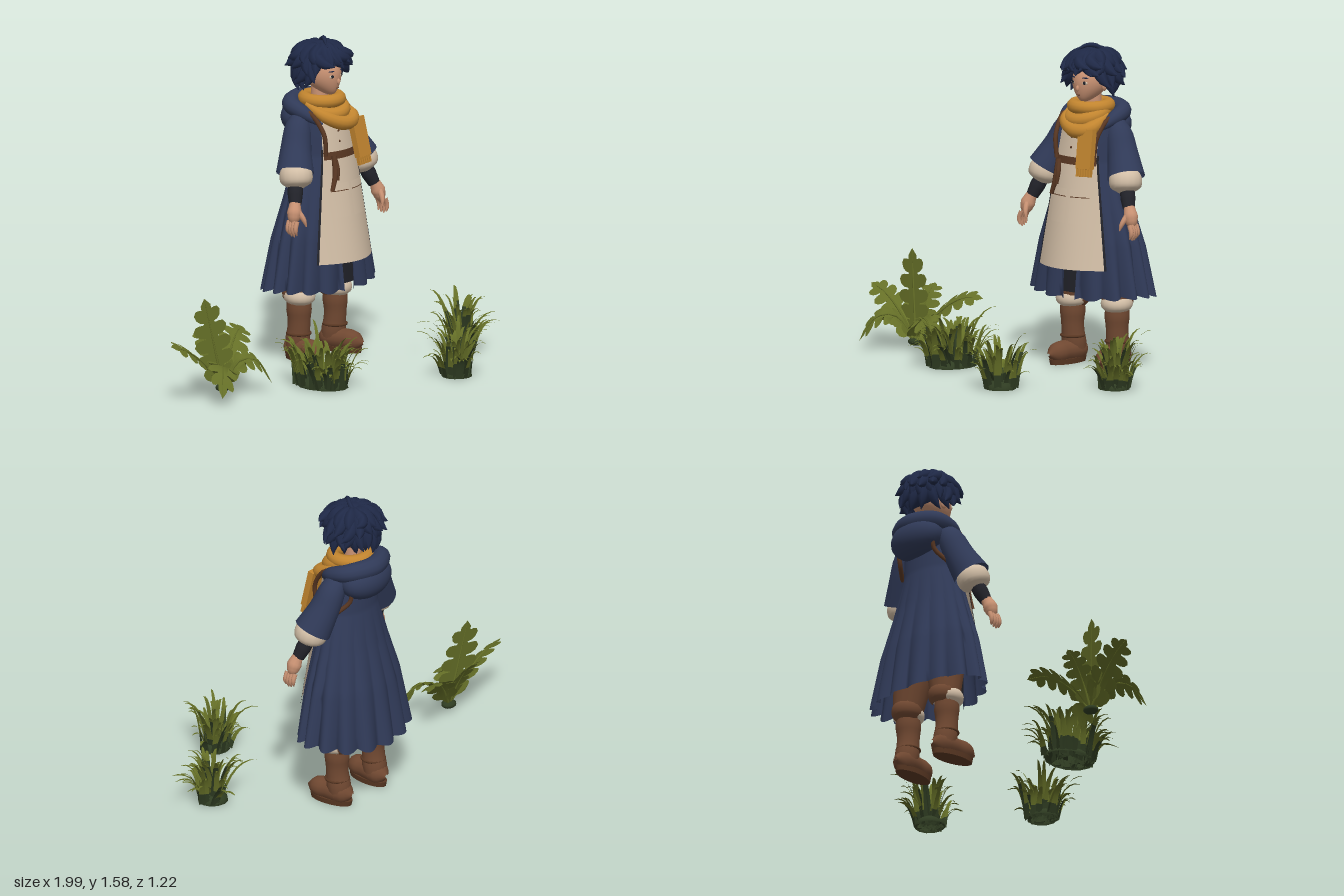
import * as THREE from 'three';
import { mergeVertices } from 'three/addons/utils/BufferGeometryUtils.js';
import { ParametricGeometry } from 'three/addons/geometries/ParametricGeometry.js';

const V = (x, y, z) => new THREE.Vector3(x, y, z);
const lerp = THREE.MathUtils.lerp;
const mat = (name, color, side = THREE.FrontSide) => {
  const m = new THREE.MeshStandardMaterial({ color, side });
  m.name = name;
  return m;
};
const M = {
  coat: mat('navy cloth', 0x303a58, THREE.DoubleSide),
  hair: mat('blue black hair', 0x1f2947),
  skin: mat('skin', 0xc99273),
  scarf: mat('mustard wool', 0xc2852f),
  cream: mat('cream linen', 0xd3bfa7, THREE.DoubleSide),
  boot: mat('brown boot leather', 0x704831),
  strap: mat('dark leather', 0x5a3823),
  black: mat('black cloth', 0x22232a, THREE.DoubleSide),
  leaf: mat('olive leaf', 0x656f27, THREE.DoubleSide),
  dark: mat('dark green', 0x2f3c22, THREE.DoubleSide),
};

let seed = 11;
const rnd = (a = 0, b = 1) => {
  seed = (seed * 16807) % 2147483647;
  return a + (b - a) * (seed / 2147483647);
};

function add(parent, name, geo, material, pos = [0, 0, 0], scale = [1, 1, 1], rot = [0, 0, 0]) {
  const m = new THREE.Mesh(geo, material);
  m.name = name;
  m.position.set(...pos);
  m.scale.set(...scale);
  m.rotation.set(...rot);
  parent.add(m);
  return m;
}

// Tube along points whose radius follows a list of values
function limb(parent, name, pts, radii, material, seg = 12, sides = 12) {
  const curve = new THREE.CatmullRomCurve3(pts.map(p => V(...p)));
  let g = new THREE.TubeGeometry(curve, seg, 1, sides);
  const pos = g.attributes.position, v = V();
  for (let k = 0; k < pos.count; k++) {
    const t = Math.floor(k / (sides + 1)) / seg, c = curve.getPointAt(t);
    const f = t * (radii.length - 1), i = Math.min(Math.floor(f), radii.length - 2);
    v.fromBufferAttribute(pos, k).sub(c).multiplyScalar(lerp(radii[i], radii[i + 1], f - i)).add(c);
    pos.setXYZ(k, v.x, v.y, v.z);
  }
  g.deleteAttribute('uv');
  g.deleteAttribute('normal');
  g = mergeVertices(g, 1e-5);
  g.computeVertexNormals();
  return add(parent, name, g, material);
}

// Coat, open above the waist and nearly closed at the hem: rows of [y, half width, depth to back, depth to front, opening angle]
const coatRows = [[.35, .352, .247, .185, .1], [.6, .295, .2, .168, .15], [.8, .226, .147, .15, .3], [1, .16, .105, .13, .55],
  [1.1, .155, .1, .125, .6], [1.21, .15, .1, .11, .6], [1.26, .09, .09, .07, .6]];
function coatPoint(u, v, out) {
  const f = v * 6, i = Math.min(Math.floor(f), 5);
  const [y, rx, zb, zf, gap] = coatRows[i].map((a, k) => lerp(a, coatRows[i + 1][k], f - i));
  const th = lerp(gap, Math.PI * 2 - gap, u), s = Math.sin(th), c = Math.cos(th);
  const t = Math.max(0, (1.02 - y) / .67), lobe = Math.abs(Math.cos(8 * th));
  const r = 1 - .14 * t * (1 - lobe);
  const hem = Math.pow(1 - v, 4) * (.03 * s * s + .01 * c - .012 * lobe - .004);
  out.set(s * rx * r, y + hem, c * (c > 0 ? zf : zb) * r);
}

// Apron surface, with its edges bending back
const apronW = y => y > 1 ? .125 - (y - 1) * .1 : .125 + (1 - y) * .15;
function apronPoint(x, y, out, lift = 0) {
  const p = x / apronW(y);
  const z = y > 1 ? .145 - (y - 1) * .15 : .145 + (1 - y) * .17;
  out.set(x, y, z - p * p * (.03 + Math.max(0, 1 - y) * .1) + lift);
}
function apronPatch(parent, name, x0, x1, y0, y1, lift, material) {
  add(parent, name, new ParametricGeometry((u, v, o) =>
    apronPoint(lerp(x0, x1, u), lerp(y0, y1, v), o, lift), 10, 6), material);
}

function buildClothes(g) {
  add(g, 'coat', new ParametricGeometry(coatPoint, 144, 24), M.coat);
  add(g, 'apron', new ParametricGeometry((u, v, o) => {
    const y = lerp(.5, 1.24, v);
    apronPoint((u * 2 - 1) * apronW(y), y, o);
  }, 20, 20), M.cream);
  add(g, 'shirt', new THREE.SphereGeometry(1, 24, 16), M.cream, [0, 1.05, 0], [.13, .22, .095]);
  add(g, 'underskirt', new ParametricGeometry((u, v, o) => {
    const x = (u - .5) * .16;
    o.set(x, lerp(.375, .7, v), .145 - x * x);
  }, 8, 4), M.black);
  for (const s of [-1, 1]) {
    const x = s * .062;
    // Dark binding along the apron edge
    add(g, 'apronBinding', new ParametricGeometry((u, v, o) => {
      const y = lerp(.5, 1.05, v);
      apronPoint(s * (apronW(y) + (s * (u - .5) + .5) * .009 - .001), y, o, .001);
    }, 2, 16), M.black);
    apronPatch(g, 'pocket', x - .05, x + .05, .72, .87, .007, M.cream);
    apronPatch(g, 'pocketFlap', x - .054, x + .054, .85, .885, .013, M.cream);
    apronPatch(g, 'pocketSeam', x - .05, x + .05, .846, .85, .012, M.strap);
    limb(g, 'shoulderStrap', [[s * .115, 1.02, .125], [s * .125, 1.13, .12], [s * .14, 1.23, .03],
      [s * .13, 1.18, -.09], [s * .12, 1.1, -.095], [s * .16, 1.03, -.04]], [.011, .011], M.strap, 24, 8);
  }
  for (const y of [1.08, 1.13])
    add(g, 'shirtButton', new THREE.SphereGeometry(1, 10, 6), M.strap, [-.02, y, .145 - (y - 1) * .15], [.006, .006, .004]);
  apronPatch(g, 'belt', -.125, .125, 1, 1.036, .008, M.strap);
  limb(g, 'beltTie', [[-.085, 1.02, .15], [-.09, .93, .163], [-.115, .85, .165]], [.012, .014, .01], M.strap);
  limb(g, 'beltTie', [[-.08, 1.02, .15], [-.075, .95, .165], [-.08, .9, .17]], [.01, .012, .008], M.strap);

  // Lowered hood with its rolled lip
  add(g, 'hoodBag', new THREE.SphereGeometry(1, 28, 18), M.coat, [0, 1.18, -.09], [.155, .1, .1]);
  limb(g, 'hoodLip', [[-.1, 1.165, .09], [-.14, 1.215, .02], [-.125, 1.245, -.08], [0, 1.25, -.135],
    [.125, 1.245, -.08], [.14, 1.215, .02], [.1, 1.165, .09]], [.01, .036, .046, .05, .046, .036, .01], M.coat, 36, 12);

  // Scarf: wraps, a front drape, a hanging tail and its fringe
  add(g, 'scarfWrap', new THREE.TorusGeometry(.084, .033, 12, 32), M.scarf, [0, 1.272, .005], [1, 1, 1], [Math.PI / 2 + .03, 0, 0]);
  add(g, 'scarfLowerWrap', new THREE.TorusGeometry(.086, .034, 12, 32), M.scarf, [0, 1.235, .03], [1, 1, 1], [Math.PI / 2 + .3, .1, 0]);
  limb(g, 'scarfDrape', [[-.115, 1.26, 0], [-.08, 1.2, .1], [.01, 1.165, .138], [.085, 1.175, .125], [.115, 1.24, .02]],
    [.012, .03, .036, .036, .012], M.scarf, 20, 12);
  const tail = new THREE.Group();
  tail.name = 'scarfTail';
  tail.position.set(.095, 1.085, .162);
  tail.rotation.set(-.2, 0, .06);
  g.add(tail);
  add(tail, 'scarfTailCloth', new THREE.BoxGeometry(.088, .19, .032), M.scarf);
  for (let i = 0; i < 6; i++)
    add(tail, 'fringe', new THREE.BoxGeometry(.009, .045, .018), M.scarf, [-.039 + i * .0155, -.11, 0]);
}

function buildArm(g, s) {
  limb(g, 'sleeve', [[s * .08, 1.205, -.015], [s * .145, 1.165, -.015], [s * .195, 1.06, .005], [s * .245, .95, .04]],
    [.04, .066, .076, .092], M.coat, 14, 18);
  limb(g, 'rolledCuff', [[s * .236, .995, .035], [s * .258, .875, .06]], [.03, .07, .08, .081, .074, .03], M.cream, 12, 16);
  limb(g, 'armGuard', [[s * .262, .9, .055], [s * .298, .81, .085]], [.036, .037, .03], M.black);
  limb(g, 'hand', [[s * .294, .83, .081], [s * .318, .77, .095], [s * .333, .71, .1]], [.024, .029, .036, .028, .004], M.skin);
  for (let k = 0; k < 4; k++) {
    const z = .076 + k * .016;
    limb(g, 'finger', [[s * .333, .735, z], [s * .347, .695, z + .002], [s * .338, .655 + Math.abs(k - 1.6) * .008, z + .004]],
      [.012, .012, .011, .003], M.skin, 6, 8);
  }
  limb(g, 'thumb', [[s * .31, .78, .11], [s * .298, .74, .138], [s * .288, .705, .145]], [.015, .014, .011, .003], M.skin, 6, 8);
}

function buildLeg(g, s) {
  limb(g, 'trouserLeg', [[s * .085, .82, 0], [s * .11, .55, -.01], [s * .135, .32, -.03]], [.085, .097, .095, .072], M.boot, 10, 14);
  // Cream turn-up with the brown trouser gathered behind it
  limb(g, 'trouserCuff', [[s * .139, .36, -.018], [s * .139, .275, -.022]], [.05, .072, .078, .075, .05], M.cream, 10, 18);
  limb(g, 'trouserGather', [[s * .13, .375, -.038], [s * .13, .278, -.04]], [.05, .072, .076, .072, .05], M.boot, 10, 18);
  const boot = new THREE.Group();
  boot.name = 'boot';
  boot.position.set(s * .137, 0, -.025);
  boot.rotation.y = s * .1;
  g.add(boot);
  limb(boot, 'bootShaft', [[0, .3, 0], [0, .17, 0], [0, .05, -.015]], [.058, .062, .055, .055, .06, .056], M.boot, 14, 16);
  limb(boot, 'bootFoot', [[0, .058, -.09], [0, .06, -.03], [0, .058, .06], [0, .052, .165]],
    [.01, .052, .058, .056, .052, .053, .044, .006], M.boot, 18, 14);
  add(boot, 'sole', new THREE.CylinderGeometry(1, .95, 1, 28), M.strap, [0, .013, .034], [.05, .026, .118]);
  add(boot, 'bootBand', new THREE.TorusGeometry(.055, .007, 8, 20), M.strap, [0, .13, 0], [1, 1, 1], [Math.PI / 2, 0, 0]);
}

function buildHead(g) {
  // Face tapering to a forward chin
  const geo = new THREE.SphereGeometry(1, 32, 24), p = geo.attributes.position;
  for (let i = 0; i < p.count; i++) {
    const y = p.getY(i), k = y < 0 ? y * y : 0;
    p.setXYZ(i, p.getX(i) * (1 - .35 * k), y, p.getZ(i) * (1 - .25 * k) + .5 * k);
  }
  geo.computeVertexNormals();
  add(g, 'face', geo, M.skin, [0, 1.395, .003], [.082, .1, .105]);
  add(g, 'neck', new THREE.CylinderGeometry(.04, .045, .14, 16), M.skin, [0, 1.27, -.01]);
  add(g, 'nose', new THREE.SphereGeometry(1, 12, 8), M.skin, [0, 1.366, .108], [.008, .015, .01]);
  add(g, 'mouth', new THREE.SphereGeometry(1, 12, 8), M.strap, [0, 1.334, .104], [.012, .002, .004]);
  for (const s of [-1, 1]) {
    const turn = [0, s * .4, 0];
    add(g, 'eyeWhite', new THREE.SphereGeometry(1, 14, 8), M.cream, [s * .036, 1.393, .097], [.014, .008, .004], turn);
    add(g, 'iris', new THREE.SphereGeometry(1, 12, 8), M.black, [s * .035, 1.394, .1], [.008, .008, .003], turn);
    add(g, 'eyebrow', new THREE.SphereGeometry(1, 12, 8), M.hair, [s * .037, 1.418, .095], [.017, .003, .004], turn);
    add(g, 'ear', new THREE.SphereGeometry(1, 12, 10), M.skin, [s * .083, 1.375, .005], [.012, .026, .017]);
  }
  // Hair cap and wavy locks, flaring at the sides and tucked in at the nape
  add(g, 'hairCap', new THREE.SphereGeometry(1, 28, 18, 0, Math.PI * 2, 0, Math.PI * .6), M.hair,
    [0, 1.44, -.015], [.115, .11, .115], [-.55, 0, 0]);
  const layers = [[12, .13, 1.475], [16, .15, 1.42], [17, .155, 1.37], [14, .13, 1.33]];
  layers.forEach(([n, rEnd, low], L) => {
    for (let i = 0; i < n; i++) {
      const a = (i + L * .4) / n * Math.PI * 2, s = Math.sin(a), c = Math.cos(a), front = c > .6;
      if (L === 3 && c > .4) continue;
      const y = (front ? 1.448 + L * .004 : low) + rnd(-.016, .02);
      const r = (front ? .142 : rEnd * (c < -.3 && L > 1 ? .82 : 1)) + rnd(-.008, .022), w = rnd(-.04, .04) + (front ? .025 : 0);
      const at = (q, h, t = 0) => [s * q + c * t, h, -.01 + c * q - s * t];
      limb(g, 'hairLock', [at(.015, 1.535), at(.06, 1.527, w * .2), at(.1, lerp(1.515, y, .4), -w * .3),
        at(lerp(.122, r, .4), lerp(1.515, y, .8), w * .2), at(r, y, w)], [.01, .022, .03, .033, .024, .001], M.hair, 11, 7);
    }
  });
  limb(g, 'strayLock', [[.03, 1.53, -.04], [.025, 1.56, -.01], [-.01, 1.565, .03], [-.045, 1.535, .075]],
    [.012, .012, .01, .001], M.hair, 10, 6);
}

// Lobed leaf: flat outline bent along an arching rib, tilted towards the front
function lobedLeaf(parent, base, tip, lift, halfW, side) {
  const env = u => Math.sin(Math.PI * (.25 + .67 * u)), edge = [[0, .05]], n = 5;
  for (let i = 0; i < n; i++) {
    const u = .1 + .16 * i;
    for (const [du, k] of [[0, .42], [.02, .75], [.06, 1], [.12, 1.12], [.157, .95], [.157, .7], [.145, .42]])
      edge.push([u + du, k * env(u)]);
  }
  const outline = [...edge, [.93, .3], [1, 0], [.93, -.3], ...edge.map(([u, v]) => [u, -v]).reverse()];
  const g = new THREE.ShapeGeometry(new THREE.Shape(outline.map(q => new THREE.Vector2(...q))));
  const mid = base.clone().lerp(tip, .5);
  mid.y += lift;
  const curve = new THREE.QuadraticBezierCurve3(base, mid, tip), p = g.attributes.position;
  const dz = base.x - tip.x;
  const across = side || V(tip.z - base.z, -.55 * dz, dz).normalize();
  for (let i = 0; i < p.count; i++) {
    const v = p.getY(i), q = curve.getPoint(p.getX(i)).addScaledVector(across, v * halfW);
    p.setXYZ(i, q.x, Math.max(.01, q.y - .012 * v * v), q.z);
  }
  g.computeVertexNormals();
  add(parent, 'lobedLeaf', g, M.leaf);
  limb(parent, 'leafRib', [0, .35, .7, 1].map(t => curve.getPoint(t).toArray()), [.009, .005, .001], M.leaf, 10, 6);
}

// Grass tuft: tapered arching blades, dark at the root
function grassTuft(parent, cx, cz, rx, rz, n, tips) {
  const pos = [], low = [], high = [], seg = 6;
  for (let b = 0; b < n + tips.length; b++) {
    const a = rnd(0, Math.PI * 2), q = Math.sqrt(rnd(0, .9));
    const base = V(cx + Math.cos(a) * q * rx, .005, cz + Math.sin(a) * q * rz);
    const a2 = a + rnd(-.9, .9), reach = rnd(.05, .14), h = rnd(.1, .28) * (1 - .25 * q);
    const tip = b < n ? V(base.x + Math.cos(a2) * reach, h, base.z + Math.sin(a2) * reach) : V(...tips[b - n]);
    if (b >= n) base.set(lerp(cx, tip.x, .2), .005, lerp(cz, tip.z, .2));
    const mid = base.clone().lerp(tip, .35);
    mid.y = tip.y * .9 + .05;
    const curve = new THREE.QuadraticBezierCurve3(base, mid, tip);
    const tw = Math.atan2(tip.z - base.z, tip.x - base.x) + Math.PI / 2 + rnd(-.35, .35);
    const w = rnd(.012, .02), s0 = pos.length / 3, darkTo = b % 4 === 0 ? 3 : 1;
    for (let i = 0; i <= seg; i++) {
      const t = i / seg, c = curve.getPoint(t), k = w * Math.pow(1 - t, .6);
      for (const e of [-1, 1]) pos.push(c.x + e * Math.cos(tw) * k, c.y, c.z + e * Math.sin(tw) * k);
      const o = s0 + i * 2;
      if (i < seg) (i < darkTo ? low : high).push(o, o + 1, o + 2, o + 1, o + 3, o + 2);
    }
  }
  const g = new THREE.BufferGeometry();
  g.setAttribute('position', new THREE.Float32BufferAttribute(pos, 3));
  g.setIndex([...low, ...high]);
  g.addGroup(0, low.length, 0);
  g.addGroup(low.length, high.length, 1);
  g.computeVertexNormals();
  add(parent, 'grassBlades', g, [M.dark, M.leaf]);
  add(parent, 'grassRoot', new THREE.SphereGeometry(1, 12, 6, 0, Math.PI * 2, 0, Math.PI / 2), M.dark, [cx, 0, cz], [rx * .9, .05, rz * .9]);
}

export function createModel() {
  const model = new THREE.Group();
  model.name = 'travellerWithPlants';
  const figure = new THREE.Group();
  figure.name = 'traveller';
  figure.position.set(.27, 0, -.35);
  model.add(figure);
  buildClothes(figure);
  buildHead(figure);
  for (const s of [-1, 1]) {
    buildArm(figure, s);
    buildLeg(figure, s);
  }

  const fern = new THREE.Group();
  fern.name = 'broadLeafPlant';
  model.add(fern);
  const root = V(-.68, .03, -.18);
  lobedLeaf(fern, root, V(-.75, .475, -.24), 0, .1, V(.97, .12, .2));
  [[-1, .28, -.24, .1], [-.37, .26, -.31, .16], [-.89, .04, -.01, .28], [-.47, .04, -.05, .28], [-.69, .3, -.34, .1]]
    .forEach(([x, y, z, lift]) => lobedLeaf(fern, root, V(x, y, z), lift, .075));
  add(fern, 'plantRoot', new THREE.SphereGeometry(1, 12, 8), M.dark, [-.68, .035, -.18], [.04, .02, .035]);

  const grass = new THREE.Group();
  grass.name = 'grassTufts';
  model.add(grass);
  grassTuft(grass, -.24, .08, .115, .15, 95, [[-.27, .2, -.19], [-.32, .12, .34], [-.03, .15, .02], [-.42, .14, .12], [-.1, .28, -.1]]);
  grassTuft(grass, .34, .44, .085, .08, 50, [[.53, .2, .38], [.2, .22, .28], [.31, .1, .57], [.45, .27, .36]]);
  grassTuft(grass, .77, .1, .085, .08, 50, [[.55, .16, .01], [.99, .16, .16], [.9, .28, -.04], [.78, .27, -.1], [.92, .14, .24]]);
  return model;
}
